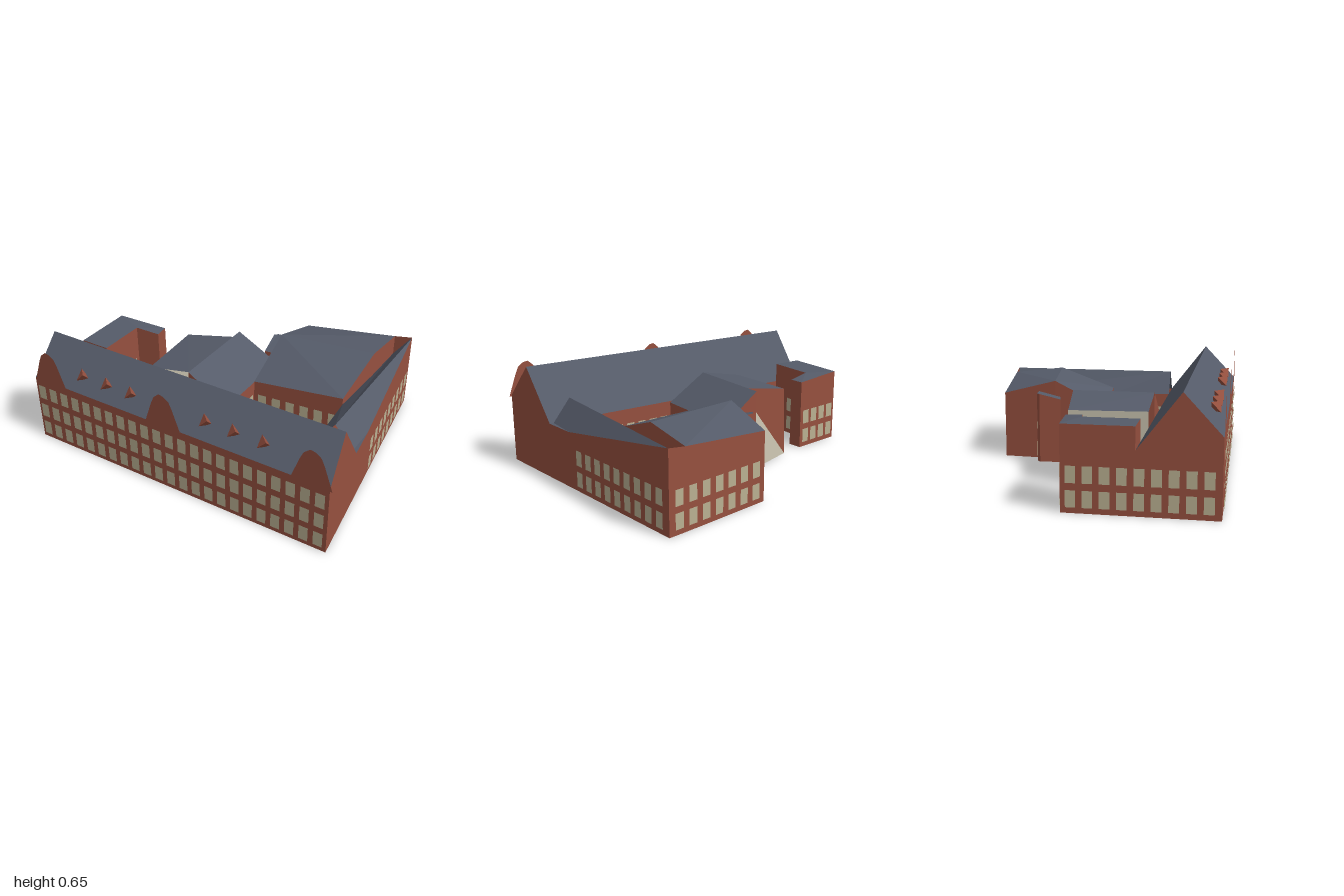
import * as THREE from 'three';
import { mergeGeometries } from 'three/addons/utils/BufferGeometryUtils.js';

const material = (name, color) => {
  const m = new THREE.MeshStandardMaterial({ color, side: THREE.DoubleSide });
  m.name = name;
  return m;
};

export function createModel() {
  const model = new THREE.Group();
  model.name = 'courtyardBuilding';
  const brick = material('brick', 0x96503f);
  const slate = material('slate', 0x555b69);
  const glass = material('paleWindow', 0xbab092);
  const plaster = material('plaster', 0xc3bdaa);

  const add = (name, geometry, mat) => {
    const mesh = new THREE.Mesh(geometry, mat);
    mesh.name = name;
    model.add(mesh);
    return mesh;
  };

  // Flat-shaded surface made of convex polygons, each a list of [x, y, z]
  const surface = (name, mat, ...polygons) => {
    const pos = [];
    for (const p of polygons)
      for (let i = 1; i < p.length - 1; i++) pos.push(...p[0], ...p[i], ...p[i + 1]);
    const g = new THREE.BufferGeometry();
    g.setAttribute('position', new THREE.Float32BufferAttribute(pos, 3));
    g.computeVertexNormals();
    return add(name, g, mat);
  };

  // Vertical walls and floor from a footprint of [x, z, wallTop],
  // running anticlockwise as seen from above
  const walls = (name, corners) => {
    const faces = corners.map(([x, z, y], i) => {
      const [x2, z2, y2] = corners[(i + 1) % corners.length];
      return [[x, 0, z], [x2, 0, z2], [x2, y2, z2], [x, y, z]];
    });
    const outline = corners.map(([x, z]) => new THREE.Vector2(x, -z));
    for (const [a, b, c] of THREE.ShapeUtils.triangulateShape(outline, []))
      faces.push([c, b, a].map((i) => [corners[i][0], 0, corners[i][1]]));
    surface(name, brick, ...faces);
  };

  // Rows of window plates, from left to right as seen from outside
  const ROWS = [0.077, 0.207, 0.34];
  const windows = (name, [x1, z1], [x2, z2], count, rows = 2) => {
    const turn = Math.atan2(z1 - z2, x2 - x1);
    const plates = [];
    for (let r = 0; r < rows; r++)
      for (let i = 0; i < count; i++) {
        const t = (i + 0.5) / count;
        plates.push(new THREE.PlaneGeometry(0.055, 0.092).rotateY(turn).translate(
          x1 + (x2 - x1) * t + Math.sin(turn) * 0.004,
          ROWS[r],
          z1 + (z2 - z1) * t + Math.cos(turn) * 0.004));
      }
    add(name, mergeGeometries(plates), glass);
  };

  // Long front range
  walls('frontRangeWalls', [
    [-1, 0.77, 0.43], [0.98, 0.77, 0.43], [0.955, 0.565, 0.65],
    [0.926, 0.33, 0.345], [-1, 0.33, 0.345], [-1, 0.565, 0.65]]);
  surface('frontRangeRoof', slate,
    [[-1, 0.43, 0.77], [0.98, 0.43, 0.77], [0.955, 0.65, 0.565], [-1, 0.65, 0.565]],
    [[-1, 0.65, 0.565], [0.955, 0.65, 0.565], [0.926, 0.345, 0.33], [-1, 0.345, 0.33]]);

  // Curved gables standing on the front wall
  const gable = new THREE.Shape([
    [-0.12, 0.42], [0.12, 0.42], [0.095, 0.49], [0.07, 0.56], [0.05, 0.605], [0.015, 0.63],
    [-0.015, 0.635], [-0.05, 0.605], [-0.07, 0.56], [-0.095, 0.49],
  ].map(([x, y]) => new THREE.Vector2(x, y)));
  for (const x of [-0.875, -0.05, 0.875])
    add('frontGable', new THREE.ShapeGeometry(gable), brick).position.set(x, 0, 0.772);

  // Small pointed roof dormers
  for (const x of [-0.665, -0.485, -0.31, 0.2, 0.38, 0.565])
    add('roofDormer', new THREE.TetrahedronGeometry(0.027 * Math.sqrt(3)), brick)
      .position.set(x, 0.521, 0.714);

  // East wing, tapering toward the back
  walls('eastWingWalls', [
    [0.926, 0.33, 0.345], [0.9, 0.12, 0.345], [0.79, -0.78, 0.485],
    [0.68, -0.766, 0.47], [0.655, -0.06, 0.34], [0.68, 0.33, 0.34]]);
  surface('eastWingRoof', slate,
    [[0.79, 0.485, 0.33], [0.9, 0.345, 0.33], [0.9, 0.345, 0.12], [0.79, 0.485, -0.78]],
    [[0.9, 0.345, 0.33], [0.926, 0.345, 0.33], [0.9, 0.345, 0.12]],
    [[0.79, 0.485, 0.33], [0.79, 0.485, -0.78], [0.68, 0.34, -0.765],
      [0.655, 0.34, -0.06], [0.68, 0.34, 0.33]]);

  // Back wing
  walls('backWingWalls', [
    [0.655, -0.06, 0.38], [0.68, -0.43, 0.51], [0.68, -0.766, 0.47],
    [0.1, -0.68, 0.42], [0.08, -0.34, 0.51], [0.08, 0, 0.34]]);
  surface('backWingRoof', slate,
    [[0.08, 0.51, -0.34], [0.68, 0.51, -0.43], [0.68, 0.47, -0.766], [0.1, 0.42, -0.68]],
    [[0.08, 0.51, -0.34], [0.655, 0.38, -0.06], [0.68, 0.51, -0.43]],
    [[0.08, 0.51, -0.34], [0.08, 0.34, 0], [0.655, 0.38, -0.06]]);

  // Middle wing between the courtyards, falling to the east
  walls('middleWingWalls', [
    [-0.18, 0.33, 0.5], [0.08, 0.33, 0.335], [0.08, -0.275, 0.335],
    [0, -0.265, 0.385], [-0.18, -0.245, 0.5]]);
  surface('middleWingRoof', slate,
    [[-0.18, 0.5, 0.33], [0.08, 0.335, 0.33], [0.08, 0.335, -0.275], [-0.18, 0.5, -0.245]]);

  // Stair block in the rear corner
  walls('stairBlockWalls', [
    [0, -0.265, 0.4], [0.085, -0.275, 0.4], [0.09, -0.45, 0.44],
    [0, -0.44, 0.44], [-0.02, -0.42, 0.44]]);
  surface('stairBlockRoof', slate,
    [[0, 0.4, -0.265], [0.085, 0.4, -0.275], [0.09, 0.44, -0.45],
      [0, 0.44, -0.44], [-0.02, 0.44, -0.42]]);

  // Western half of the middle wing with leaning plaster faces
  surface('hallRoof', slate,
    [[-0.18, 0.5, 0.33], [-0.18, 0.5, -0.165], [-0.5, 0.44, -0.125], [-0.47, 0.44, 0.33]]);
  surface('hallBrick', brick,
    [[-0.18, 0.42, -0.165], [-0.51, 0, -0.13], [-0.5, 0.44, -0.125], [-0.18, 0.5, -0.165]],
    [[-0.18, 0, 0.33], [-0.47, 0, 0.33], [-0.51, 0, -0.13], [-0.18, 0, -0.245]]);
  surface('hallPlaster', plaster,
    [[-0.18, 0, -0.245], [-0.51, 0, -0.13], [-0.18, 0.42, -0.165]],
    [[-0.51, 0, -0.13], [-0.47, 0, 0.33], [-0.47, 0.44, 0.33], [-0.5, 0.44, -0.125]]);

  // Hooked west wing with a flat roof
  const west = [
    [-1, 0.33, 0.47], [-0.81, 0.33, 0.47], [-0.81, 0.02, 0.47],
    [-0.66, -0.01, 0.45], [-0.67, -0.1, 0.45], [-1, -0.06, 0.47]];
  walls('westWingWalls', west);
  const top = west.map(([x, z, y]) => [x, y, z]);
  surface('westWingRoof', slate,
    [top[0], top[1], top[2], top[5]], [top[2], top[3], top[4], top[5]]);

  // Windows on the outer walls
  windows('frontWindows', [-0.994, 0.773], [0.975, 0.773], 23, 3);
  windows('eastWindows', [0.894, 0.07], [0.794, -0.75], 9);
  windows('backWindows', [0.77, -0.777], [0.12, -0.683], 7);
  windows('westWindows', [-1, -0.05], [-1, 0.75], 9);
  windows('westWingBackWindows', [-0.68, -0.099], [-0.99, -0.061], 4);
  windows('middleBackWindows', [0, -0.265], [-0.18, -0.245], 2);
  windows('stairWindows', [0.08, -0.449], [0, -0.44], 1);

  // Windows facing the courtyards
  windows('courtSouthWindows', [0.67, 0.33], [0.09, 0.33], 7);
  windows('courtEastWindows', [0.657, -0.04], [0.678, 0.31], 4);
  windows('courtNorthWindows', [0.09, -0.001], [0.645, -0.059], 6);
  windows('courtWestWindows', [0.08, 0.32], [0.08, 0.01], 4);
  windows('westCourtSouthWindows', [-0.48, 0.33], [-0.8, 0.33], 4);
  windows('westCourtWindows', [-0.81, 0.32], [-0.81, 0.03], 3);

  return model;
}
